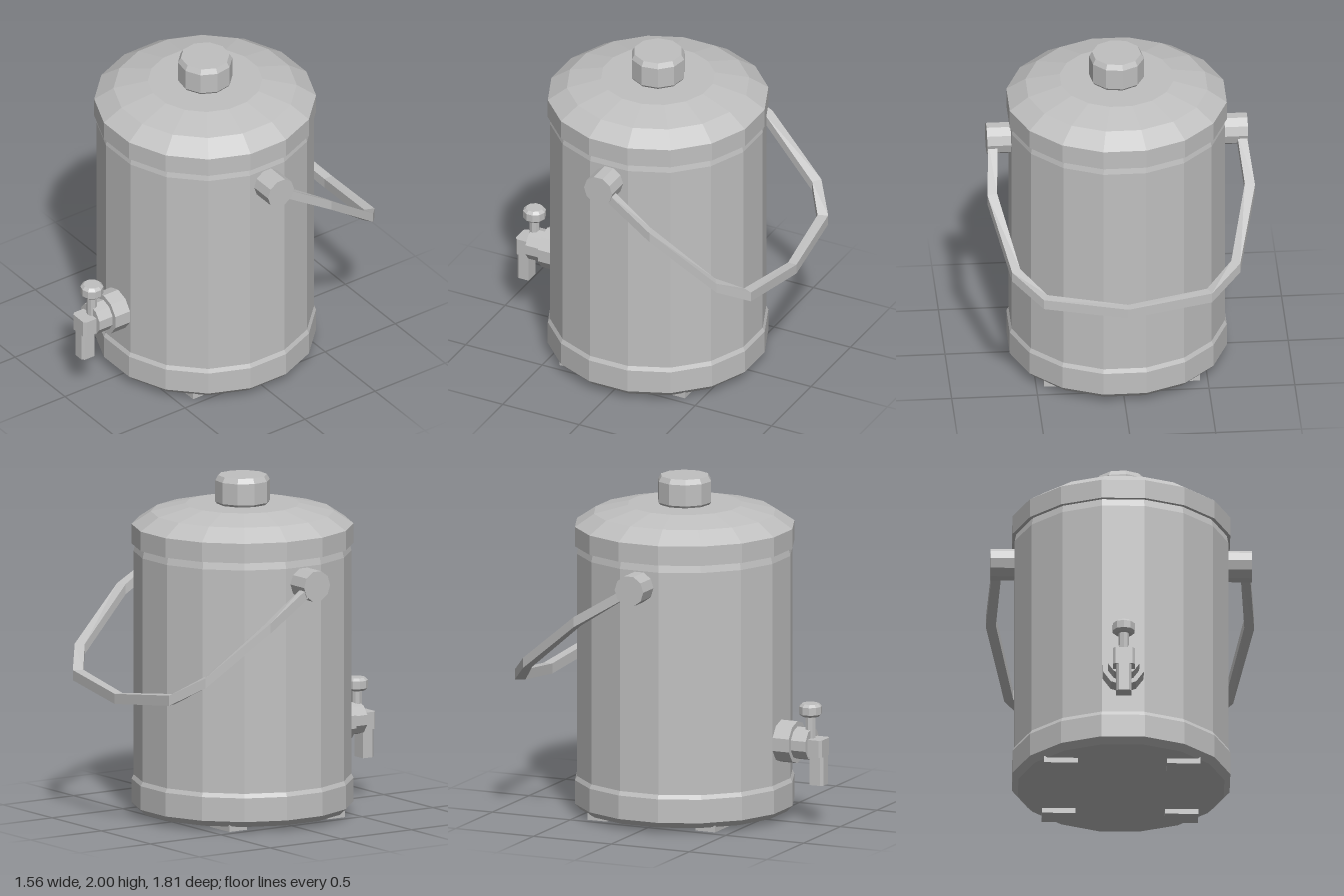
import * as THREE from 'three';

export function createModel() {
  const model = new THREE.Group();
  const metal = new THREE.MeshStandardMaterial({ color: 0xc0c0c0 });

  // Adds a faceted mesh: unshared corners give flat normals
  function add(name, geometry, x = 0, y = 0, z = 0) {
    const flat = geometry.index ? geometry.toNonIndexed() : geometry;
    flat.computeVertexNormals();
    const mesh = new THREE.Mesh(flat, metal);
    mesh.name = name;
    mesh.position.set(x, y, z);
    model.add(mesh);
    return mesh;
  }
  const lathe = (profile, sides, turn) => new THREE.LatheGeometry(
    profile.map(([r, y]) => new THREE.Vector2(r, y)), sides, turn);

  // Tank with a thicker foot band and a slight neck under the lid
  add('tank', lathe([
    [0, 0.03], [0.61, 0.03], [0.645, 0.065], [0.645, 0.205], [0.633, 0.23],
    [0.633, 1.55], [0.622, 1.6],
  ], 16, Math.PI / 16));

  // Domed lid and its knob
  add('lid', lathe([
    [0.6, 1.595], [0.645, 1.595], [0.645, 1.71], [0.533, 1.785], [0.333, 1.832], [0, 1.832],
  ], 16, Math.PI / 16));
  add('lidKnob', lathe([
    [0.145, 1.825], [0.16, 1.845], [0.16, 1.97], [0.143, 2], [0, 2],
  ], 10, Math.PI / 20));

  // Handle pivots
  for (const side of [-1, 1]) {
    const pivot = new THREE.CylinderGeometry(0.092, 0.092, 0.18, 10).rotateZ(Math.PI / 2);
    add(side > 0 ? 'leftPivot' : 'rightPivot', pivot, side * 0.67, 1.455, 0);
  }

  // Swinging handle: each station is [outer x, outer z, inner x, inner z, y]
  const half = [
    [0.752, -0.05, 0.697, -0.05, 1.425],
    [0.78, -0.345, 0.722, -0.325, 1.245],
    [0.665, -0.725, 0.615, -0.69, 0.945],
    [0.49, -0.86, 0.465, -0.803, 0.83],
  ];
  const mirrored = half.map(([ox, oz, ix, iz, y]) => [-ox, oz, -ix, iz, y]).reverse();
  const stations = [...half, [0, -0.905, 0, -0.85, 0.77], ...mirrored];
  const points = [];
  const faces = [];
  stations.forEach(([ox, oz, ix, iz, y], s) => {
    const t = 0.03;
    points.push(ox, y + t, oz, ix, y + t, iz, ix, y - t, iz, ox, y - t, oz);
    if (s === 0) return;
    for (let k = 0; k < 4; k++) {
      const n = (k + 1) % 4;
      const a = (s - 1) * 4 + k, b = (s - 1) * 4 + n, c = s * 4 + n, d = s * 4 + k;
      faces.push(a, d, c, a, c, b);
    }
  });
  const handle = new THREE.BufferGeometry();
  handle.setAttribute('position', new THREE.Float32BufferAttribute(points, 3));
  handle.setIndex(faces);
  add('handle', handle);

  // Tap: flange and neck along z
  add('tapFlange', new THREE.CylinderGeometry(0.125, 0.125, 0.15, 10).rotateX(Math.PI / 2), 0, 0.477, 0.65);
  add('tapNeck', new THREE.CylinderGeometry(0.096, 0.096, 0.14, 10).rotateX(Math.PI / 2), 0, 0.475, 0.75);

  // Chamfered block standing between two heights
  function block(name, w, back, front, bottom, top) {
    const c = 0.015;
    const outline = [[-w, back], [w, back], [w, front - c], [w - c, front], [c - w, front], [-w, front - c]];
    const shape = new THREE.Shape(outline.map(([x, z]) => new THREE.Vector2(x, -z)));
    const geometry = new THREE.ExtrudeGeometry(shape, { depth: top - bottom, bevelEnabled: false });
    add(name, geometry.rotateX(-Math.PI / 2), 0, bottom, 0);
  }
  block('tapArm', 0.064, 0.78, 0.905, 0.41, 0.512);
  block('tapSpout', 0.045, 0.823, 0.905, 0.24, 0.42);

  // Tap stem and turning knob
  add('tapStem', new THREE.CylinderGeometry(0.031, 0.031, 0.16, 8), 0, 0.57, 0.808);
  add('tapKnob', lathe([
    [0, 0.64], [0.05, 0.64], [0.067, 0.655], [0.067, 0.7], [0.05, 0.716], [0, 0.716],
  ], 10, 0), 0, 0, 0.808);

  // Four feet
  for (const x of [-0.357, 0.357]) {
    for (const z of [-0.347, 0.347]) {
      add('foot', new THREE.BoxGeometry(0.195, 0.04, 0.125), x, 0.02, z);
    }
  }
  return model;
}
